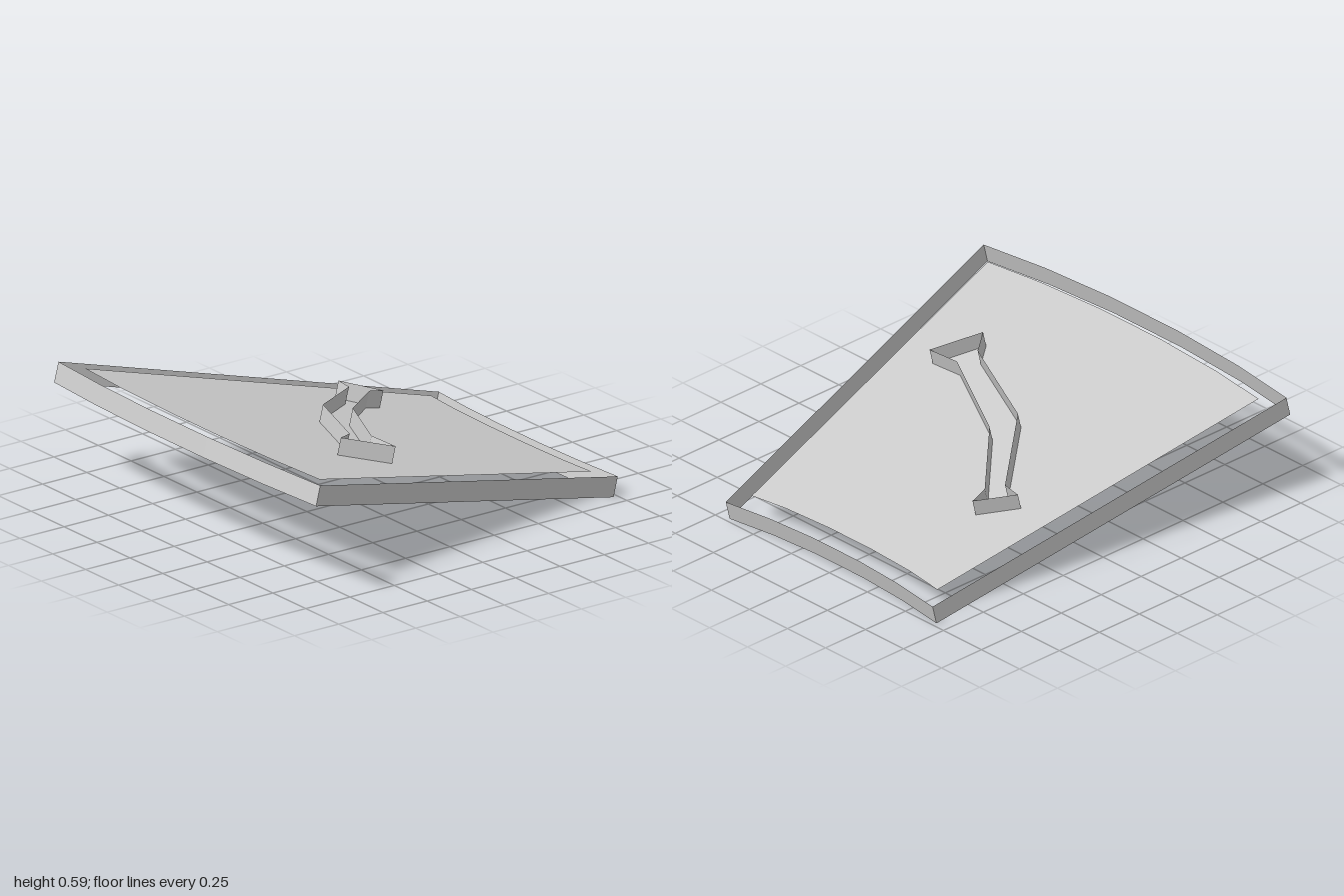
import * as THREE from 'three';

const TILT = Math.atan(0.2506);
const WALL = 0.098; // height of the rim walls
const RAISED = 0.082; // height of the emblem walls

const material = new THREE.MeshStandardMaterial({
  color: 0xcccccc, flatShading: true, side: THREE.DoubleSide,
});

// Converts plan points [x, z] at a given height to the sloping plane's own axes
const toSlope = (points, height) => points.map(([x, z]) =>
  [x, (z + height * Math.sin(TILT)) / Math.cos(TILT)]);

// Completes a half outline (x > 0, back to front) by mirroring it
const mirrored = (half) => [...half, ...half.slice().reverse().map(([x, z]) => [-x, z])];

// Closed ribbon of thin walls standing on an outline
function ribbon(name, outline, base, height) {
  const positions = [];
  outline.forEach(([x0, z0], i) => {
    const [x1, z1] = outline[(i + 1) % outline.length];
    const top = base + height;
    positions.push(x0, base, z0, x0, top, z0, x1, top, z1);
    positions.push(x0, base, z0, x1, top, z1, x1, base, z1);
  });
  const geometry = new THREE.BufferGeometry();
  geometry.setAttribute('position', new THREE.Float32BufferAttribute(positions, 3));
  geometry.computeVertexNormals();
  const mesh = new THREE.Mesh(geometry, material);
  mesh.name = name;
  return mesh;
}

// Flat sheet filling an outline, facing up
function sheet(name, outline, height) {
  const shape = new THREE.Shape(outline.map(([x, z]) => new THREE.Vector2(x, -z)));
  const geometry = new THREE.ShapeGeometry(shape);
  geometry.rotateX(-Math.PI / 2);
  geometry.translate(0, height, 0);
  const mesh = new THREE.Mesh(geometry, material);
  mesh.name = name;
  return mesh;
}

export function createModel() {
  const group = new THREE.Group();
  group.name = 'slopingPanel';

  const slope = new THREE.Group();
  slope.name = 'slope';
  slope.rotation.x = -TILT;
  slope.position.y = 0.25;
  group.add(slope);

  // Outer rim with bowed front and back edges
  const rim = mirrored([
    [0.15, -0.935], [0.42, -0.949], [0.68, -0.977],
    [0.995, 0.938], [0.63, 0.977], [0.22, 0.998],
  ]);
  slope.add(ribbon('rim', toSlope(rim, 0), 0, WALL));

  // Inset panel, level with the top of the rim
  const panel = mirrored([
    [0.14, -0.87], [0.41, -0.882], [0.61, -0.905],
    [0.89, 0.84], [0.57, 0.872], [0.19, 0.89],
  ]);
  slope.add(sheet('panel', toSlope(panel, WALL), WALL));

  // Raised open outline with flared ends
  const emblem = [
    [-0.374, -0.44], [-0.36, -0.35], [-0.055, -0.03], [0.41, 0.21], [0.58, 0.2],
    [0.46, 0.42], [0.385, 0.315], [-0.1, 0.105], [-0.42, -0.28], [-0.52, -0.295],
  ];
  slope.add(ribbon('raisedOutline', toSlope(emblem, WALL), WALL, RAISED));

  return group;
}
